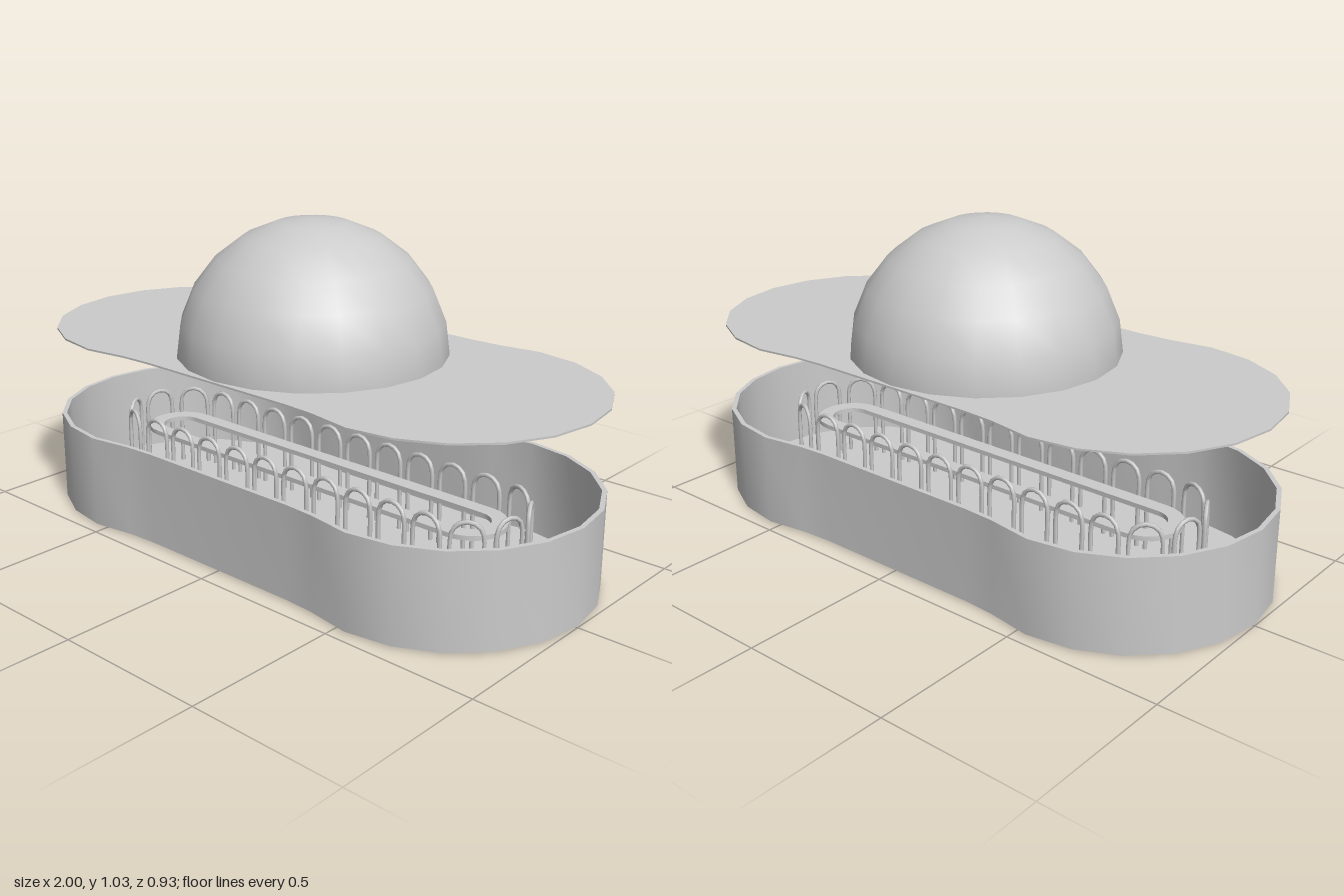
import * as THREE from 'three';
import { toCreasedNormals } from 'three/addons/utils/BufferGeometryUtils.js';

const grey = new THREE.MeshStandardMaterial({ color: 0xcccccc, side: THREE.DoubleSide });

// Two round lobes joined by a slightly narrower waist
function lobedOutline(inset = 0) {
  const r = 0.463 - inset, step = Math.PI / 10, half = [];
  for (let k = -6; k <= 6; k++) {
    half.push(new THREE.Vector2(0.537 + r * Math.cos(k * step), r * Math.sin(k * step)));
  }
  half.push(new THREE.Vector2(0.29, 0.434 - inset));
  half.unshift(new THREE.Vector2(0.29, -0.434 + inset));
  return [...half, ...half.map(p => p.clone().negate())];
}

// Straight-sided oval
function ovalOutline(halfLength, r) {
  const half = [];
  for (let k = -6; k <= 6; k++) {
    const a = k * Math.PI / 12;
    half.push(new THREE.Vector2(halfLength + r * Math.cos(a), r * Math.sin(a)));
  }
  return [...half, ...half.map(p => p.clone().negate())];
}

// Horizontal plate or wall raised from an outline, with an optional opening
function slab(name, outline, hole, y, height) {
  const shape = new THREE.Shape(outline);
  if (hole) shape.holes.push(new THREE.Path(hole));
  let geo = new THREE.ExtrudeGeometry(shape, { depth: height, bevelEnabled: false });
  geo.rotateX(-Math.PI / 2).translate(0, y, 0);
  geo = toCreasedNormals(geo, 0.6);
  const mesh = new THREE.Mesh(geo, grey);
  mesh.name = name;
  return mesh;
}

// Hoop standing on two straight legs
function hoopGeometry(width, height) {
  const r = width / 2, points = [new THREE.Vector3(-r, 0.005, 0)];
  points.push(new THREE.Vector3(-r, (height - r) * 0.5, 0));
  for (let k = 0; k <= 6; k++) {
    const a = Math.PI - k * Math.PI / 6;
    points.push(new THREE.Vector3(r * Math.cos(a), height - r + r * Math.sin(a), 0));
  }
  points.push(new THREE.Vector3(r, (height - r) * 0.5, 0), new THREE.Vector3(r, 0.005, 0));
  return new THREE.TubeGeometry(new THREE.CatmullRomCurve3(points), 28, 0.007, 6);
}

export function createModel() {
  const model = new THREE.Group();

  // Open tray
  model.add(slab('trayFloor', lobedOutline(0.008), null, 0, 0.006));
  model.add(slab('trayWall', lobedOutline(), lobedOutline(0.015), 0.005, 0.3));

  // Ring of hoops inside the tray
  const hoops = new THREE.Group();
  hoops.name = 'hoops';
  const straight = 0.62, radius = 0.175, count = 28;
  const geo = hoopGeometry(0.095, 0.285);
  const arc = Math.PI * radius, side = 2 * straight, total = 2 * (arc + side);
  for (let i = 0; i < count; i++) {
    let d = (i + 0.5) * total / count;
    const flip = d > total / 2;
    if (flip) d -= total / 2;
    const hoop = new THREE.Mesh(geo, grey);
    hoop.name = 'hoop';
    const a = d < side ? 0 : (d - side) / radius;
    const cx = d < side ? d - straight : straight;
    const sign = flip ? -1 : 1;
    hoop.position.set(sign * (cx + radius * Math.sin(a)), 0, sign * radius * Math.cos(a));
    hoop.rotation.y = a + (flip ? Math.PI : 0);
    hoops.add(hoop);
  }
  model.add(hoops);

  // Raised oval band within the hoops
  model.add(slab('innerBand', ovalOutline(straight, 0.115), ovalOutline(straight, 0.065), 0.2, 0.015));

  // Thin floating lid with a round opening under the dome
  const opening = Array.from({ length: 20 }, (_, k) => {
    const a = k * Math.PI / 10;
    return new THREE.Vector2(0.41 * Math.cos(a), 0.41 * Math.sin(a));
  });
  model.add(slab('lid', lobedOutline(), opening, 0.601, 0.006));

  // Hollow dome
  for (const [name, r] of [['domeOuter', 0.428], ['domeInner', 0.41]]) {
    const dome = new THREE.Mesh(
      new THREE.SphereGeometry(r, 20, 6, 0, Math.PI * 2, 0, Math.PI / 2), grey);
    dome.name = name;
    dome.position.y = 0.602;
    model.add(dome);
  }
  return model;
}
